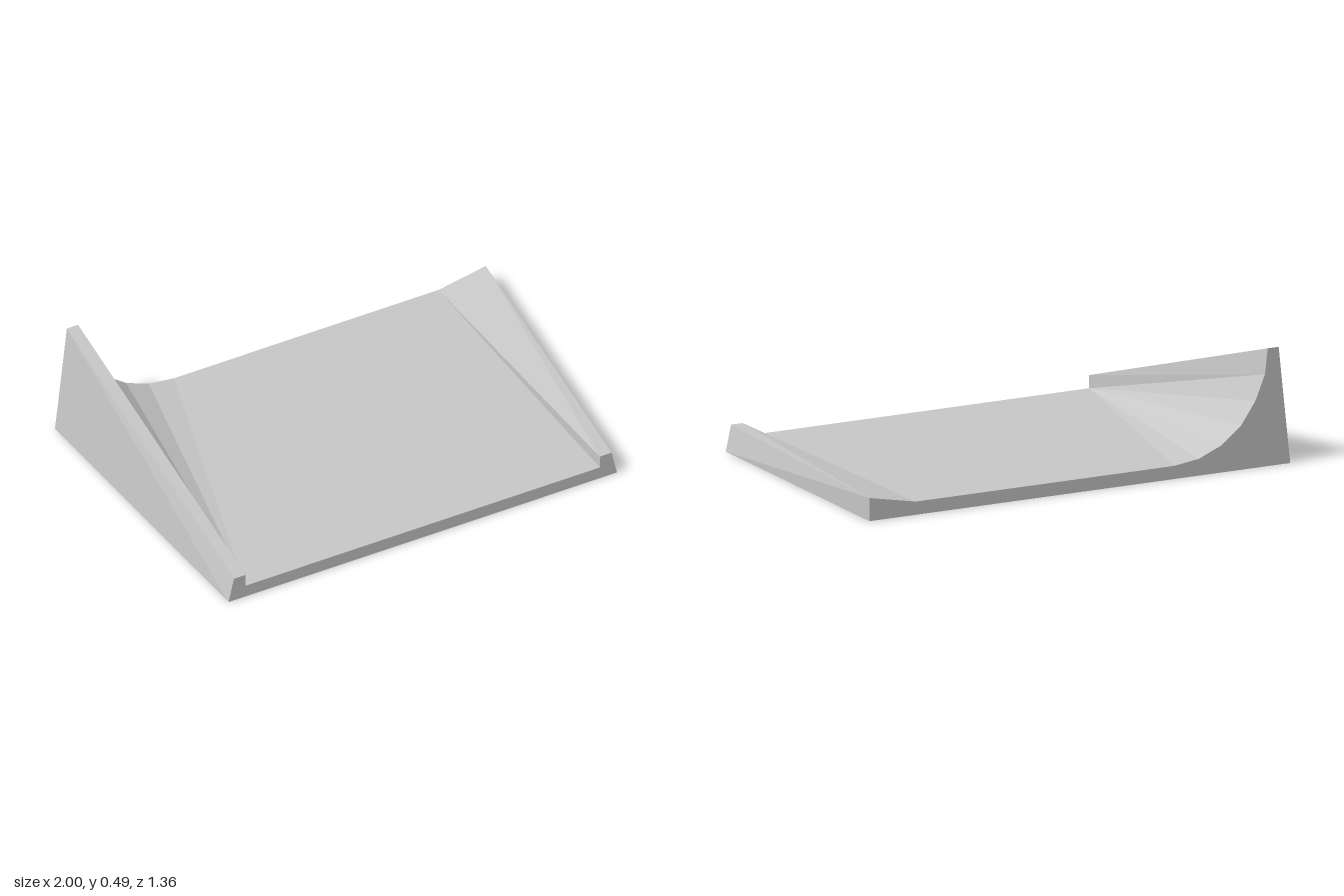
import * as THREE from 'three';

const DEPTH = 0.68;

// Matching front and back cross-sections, left bottom to right bottom.
// Repeated points make the surface fan out of a single corner.
const corner = [-0.865, 0.055];
const front = [
  [-0.943, 0], [-0.918, 0.11], [-0.865, 0.11],
  corner, corner, corner, corner, corner, corner,
  [0.78, 0.055], [0.78, 0.11], [0.835, 0.11], [0.86, 0],
];
const back = [
  [-1, 0], [-0.945, 0.492], [-0.893, 0.492],
  [-0.88, 0.385], [-0.835, 0.28], [-0.767, 0.185], [-0.67, 0.112], [-0.565, 0.07], [-0.45, 0.055],
  [0.78, 0.055], [0.78, 0.055], [1, 0.097], [1, 0],
];

const same = (p, q) => p[0] === q[0] && p[1] === q[1];

// Faceted surface joining sections i..j of the two profiles
function strip(i, j, flip = false) {
  const pos = [];
  const add = (...pts) => pts.forEach((p) => pos.push(...p));
  const n = front.length;
  for (let k = i; k < j; k++) {
    const m = (k + 1) % n;
    const a = [...front[k % n], DEPTH], b = [...front[m], DEPTH];
    const A = [...back[k % n], -DEPTH], B = [...back[m], -DEPTH];
    if (flip) {
      add(a, b, A, b, B, A);
    } else {
      if (!same(a, b)) add(a, b, B);
      if (!same(A, B)) add(a, B, A);
    }
  }
  const geo = new THREE.BufferGeometry();
  geo.setAttribute('position', new THREE.Float32BufferAttribute(pos, 3));
  geo.computeVertexNormals();
  return geo;
}

// Flat end face filling a profile; side is 1 for front, -1 for back
function cap(profile, side) {
  const pts = profile
    .filter((p, k) => k === 0 || !same(p, profile[k - 1]))
    .map(([x, y]) => new THREE.Vector2(x * side, y));
  const geo = new THREE.ShapeGeometry(new THREE.Shape(pts));
  if (side < 0) geo.rotateY(Math.PI);
  return geo.translate(0, 0, DEPTH * side);
}

export function createModel() {
  const group = new THREE.Group();
  const grey = new THREE.MeshStandardMaterial({ color: 0xc8c8c8 });
  grey.name = 'plain grey';

  const add = (name, geo) => {
    const mesh = new THREE.Mesh(geo, grey);
    mesh.name = name;
    group.add(mesh);
  };

  add('rightWall', strip(0, 2));        // outer face and top of the tall wall
  add('curvedBank', strip(2, 8));       // fan of facets down to the floor
  add('floor', strip(8, 9));
  add('leftLedge', strip(9, 11));       // tapering step and its sloped top
  add('leftWall', strip(11, 12, true)); // outer face of the low side
  add('underside', strip(12, 13));
  add('frontFace', cap(front, 1));
  add('backFace', cap(back, -1));
  return group;
}
